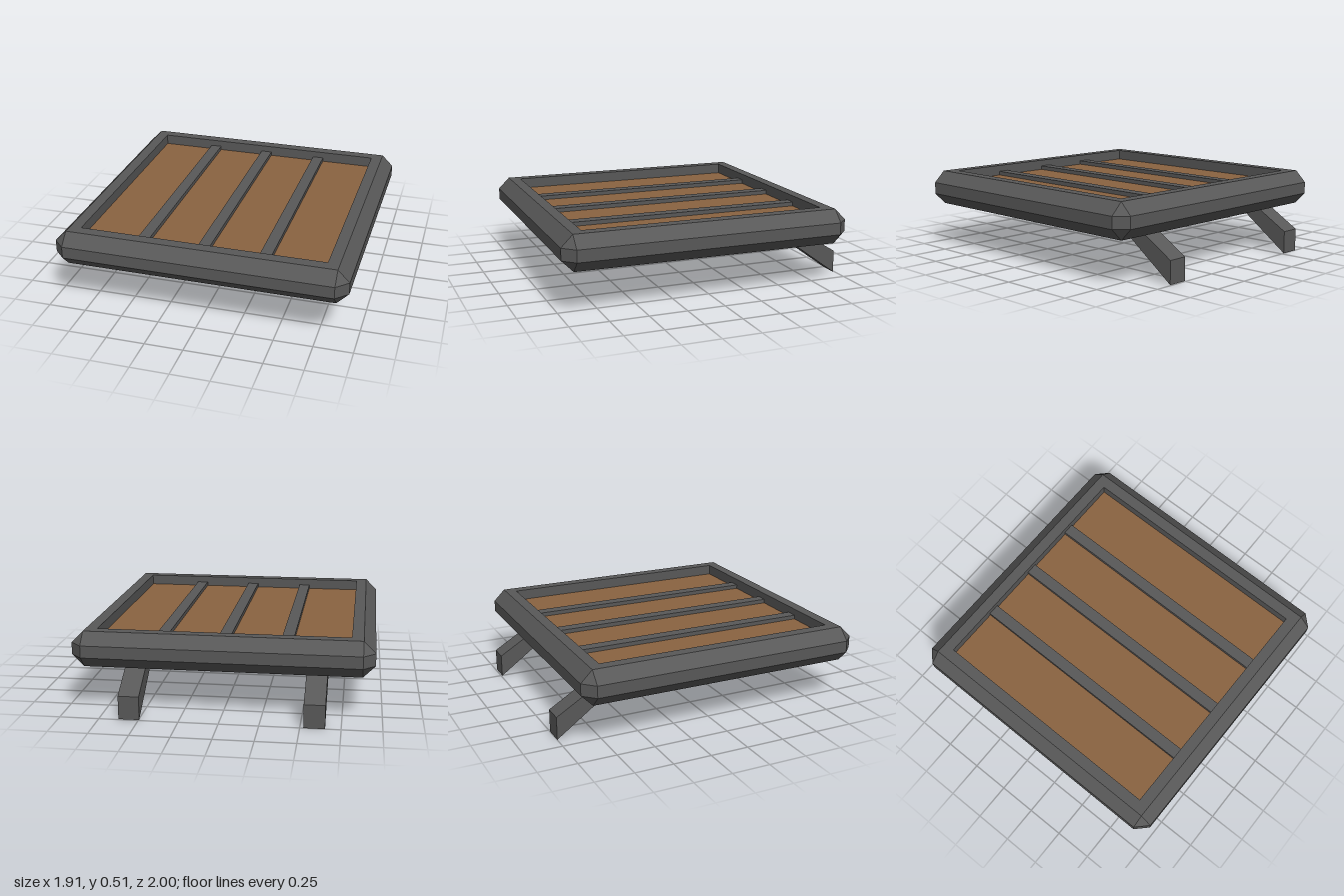
import * as THREE from 'three';

const HX = 0.95, HZ = 0.953, BEVEL = 0.076;
const BOTTOM = 0.285, TOP = 0.515;
const IN_X = 0.80, IN_Z = 0.805;

// One eight-point ring: a rectangle whose corners are cut back by c
function ring(y, hx, hz, c) {
  const pts = [];
  [[1, 1], [1, -1], [-1, -1], [-1, 1]].forEach(([sx, sz], i) => {
    const pair = [
      new THREE.Vector3(sx * (hx - c), y, sz * hz),
      new THREE.Vector3(sx * hx, y, sz * (hz - c)),
    ];
    if (i % 2) pair.reverse();
    pts.push(...pair);
  });
  return pts;
}

// Bevelled border with an open middle, lofted around its cross-section
function frameGeometry() {
  const fx = HX - BEVEL, fz = HZ - BEVEL;
  const rings = [
    ring(TOP, IN_X, IN_Z, 0),
    ring(TOP, fx, fz, 0),
    ring(TOP - BEVEL, HX, HZ, BEVEL),
    ring(BOTTOM + BEVEL, HX, HZ, BEVEL),
    ring(BOTTOM, fx, fz, 0),
    ring(BOTTOM, IN_X, IN_Z, 0),
  ];
  const points = [];
  const addTriangle = (a, b, c) => {
    if (new THREE.Triangle(a, b, c).getArea() > 1e-7) points.push(a, b, c);
  };
  rings.forEach((upper, k) => {
    const lower = rings[(k + 1) % rings.length];
    for (let j = 0; j < 8; j++) {
      const n = (j + 1) % 8;
      addTriangle(upper[j], lower[j], lower[n]);
      addTriangle(upper[j], lower[n], upper[n]);
    }
  });
  const geometry = new THREE.BufferGeometry().setFromPoints(points);
  geometry.computeVertexNormals();
  return geometry;
}

// Slanted, slightly tapering leg: side outline extruded across x
function legGeometry(width) {
  // outline in (-z, y)
  const outline = new THREE.Shape([
    new THREE.Vector2(1.035, 0),
    new THREE.Vector2(1.035, 0.15),
    new THREE.Vector2(0.72, 0.34),
    new THREE.Vector2(0.565, 0.34),
  ]);
  const geometry = new THREE.ExtrudeGeometry(outline, { depth: width, bevelEnabled: false });
  geometry.translate(0, 0, -width / 2);
  geometry.rotateY(Math.PI / 2);
  return geometry;
}

export function createModel() {
  const model = new THREE.Group();
  model.name = 'framedPanel';
  const metal = new THREE.MeshStandardMaterial({ color: 0x585858, flatShading: true });
  const wood = new THREE.MeshStandardMaterial({ color: 0x8a6341, flatShading: true });

  const body = new THREE.Group();
  body.name = 'body';
  body.position.set(-0.002, 0, 0.04);
  body.rotation.y = -0.007; // the whole piece sits slightly askew
  model.add(body);

  const add = (name, geometry, material, x = 0, y = 0, z = 0) => {
    const mesh = new THREE.Mesh(geometry, material);
    mesh.name = name;
    mesh.position.set(x, y, z);
    body.add(mesh);
  };

  add('frame', frameGeometry(), metal);

  // Recessed wooden panel
  add('panel', new THREE.BoxGeometry(2 * IN_X, 0.125, 2 * IN_Z), wood, 0, 0.3825, 0);

  // Three bars across the panel, below the rim
  for (const x of [-0.4, 0, 0.4]) {
    add('bar', new THREE.BoxGeometry(0.076, 0.06, 2 * IN_Z), metal, x, 0.442, 0);
  }

  // Two rear legs
  const leg = legGeometry(0.132);
  add('rightLeg', leg, metal, -0.593);
  add('leftLeg', leg, metal, 0.556);

  return model;
}
